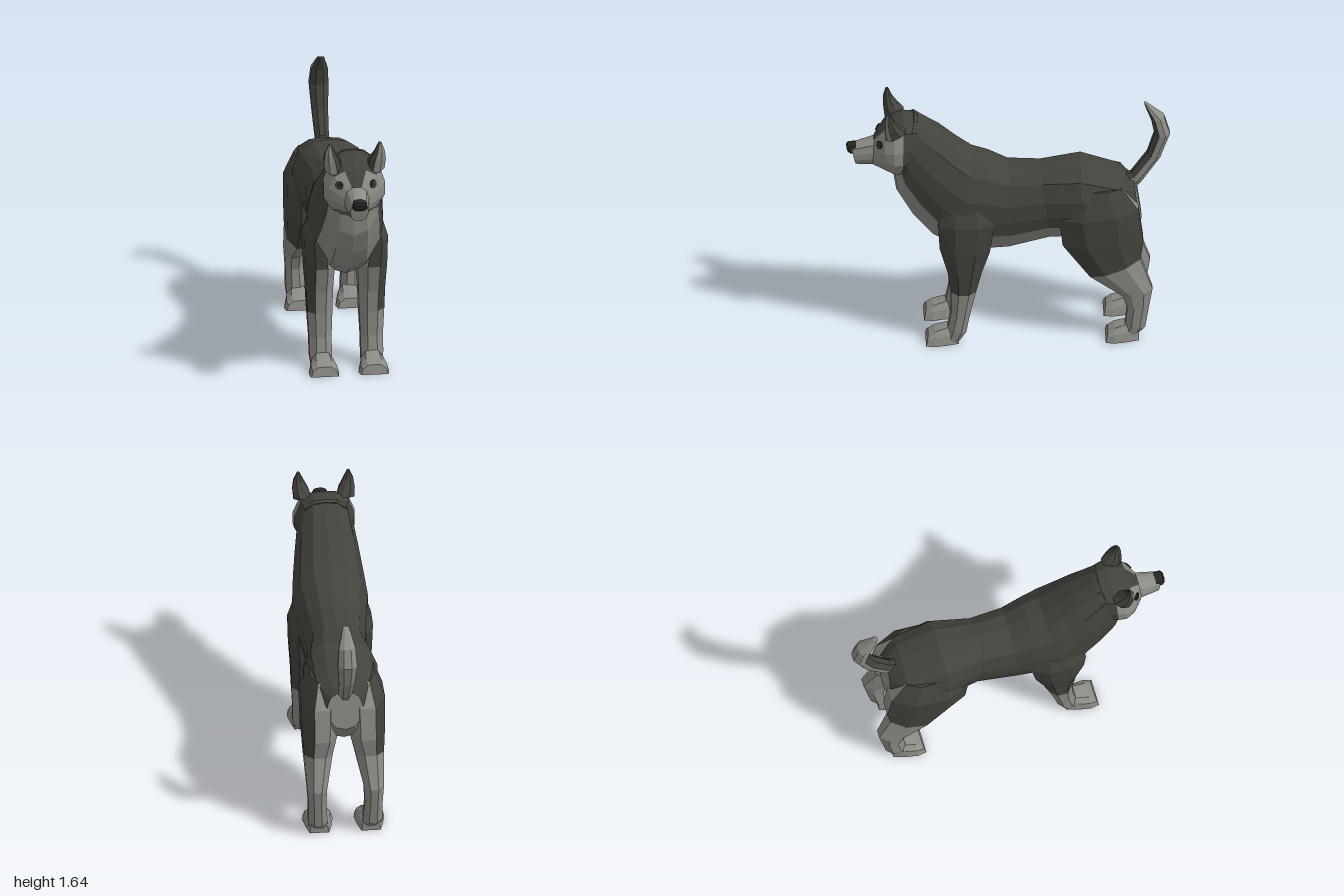
import * as THREE from 'three';

const V = (x, y, z) => new THREE.Vector3(x, y, z);
const mat = (name, color) => {
  const m = new THREE.MeshStandardMaterial({ color, flatShading: true });
  m.name = name;
  return m;
};

// Skin a list of equal-length rings; pick(i, j) gives the material index of a band's face.
function loft(name, rings, mats, pick, capStart = 0, capEnd = 0) {
  const faces = mats.map(() => []);
  const n = rings[0].length;
  const mid = r => r.reduce((s, p) => s.add(p), V(0, 0, 0)).divideScalar(n);
  for (let i = 0; i < rings.length - 1; i++)
    for (let j = 0; j < n; j++) {
      const k = (j + 1) % n, a = rings[i], b = rings[i + 1];
      faces[pick(i, j)].push([a[j], a[k], b[k]], [a[j], b[k], b[j]]);
    }
  const first = rings[0], last = rings[rings.length - 1];
  const c0 = mid(first), c1 = mid(last);
  for (let j = 0; j < n; j++) {
    const k = (j + 1) % n;
    faces[capStart].push([c0, first[k], first[j]]);
    faces[capEnd].push([c1, last[j], last[k]]);
  }
  // Turn every face outward when the enclosed volume is negative
  const volume = faces.flat().reduce((s, [a, b, c]) => s + a.clone().sub(c0).dot(b.clone().sub(c0).cross(c.clone().sub(c0))), 0);
  const pos = [], geo = new THREE.BufferGeometry();
  faces.forEach((list, m) => {
    geo.addGroup(pos.length / 3, list.length * 3, m);
    for (const [a, b, c] of list)
      for (const p of volume < 0 ? [a, c, b] : [a, b, c]) pos.push(p.x, p.y, p.z);
  });
  geo.setAttribute('position', new THREE.Float32BufferAttribute(pos, 3));
  geo.computeVertexNormals();
  const mesh = new THREE.Mesh(geo, mats);
  mesh.name = name;
  return mesh;
}

// Mirrored ring from a half profile [width share, share of the way from top to bottom]
function halfRing(profile, [tz, ty, bz, by, w], cx = 0) {
  const at = (u, v) => V(cx + u * w, ty + (by - ty) * v, tz + (bz - tz) * v);
  const right = profile.map(([u, v]) => at(u, v));
  const left = profile.slice(1, -1).reverse().map(([u, v]) => at(-u, v));
  return [...right, ...left];
}
// Segment number counted down from the spine, equal on both sides
const fold = (j, n) => Math.min(j, n - 1 - j);

// Octagonal limb ring between a front and a back point and two x limits
function limbRing([fz, fy, bz, by, x0, x1], s = 1) {
  return Array.from({ length: 8 }, (_, j) => {
    const a = (j + 0.5) * Math.PI / 4, k = 0.5 / Math.cos(Math.PI / 8);
    const c = Math.cos(a) * k, d = Math.sin(a) * k;
    return V(s * ((x0 + x1) / 2 + (x1 - x0) * d), (fy + by) / 2 + (fy - by) * c, (fz + bz) / 2 + (fz - bz) * c);
  });
}

export function createModel() {
  const group = new THREE.Group();
  group.name = 'dog';
  const dark = mat('darkFur', 0x43433d), light = mat('lightFur', 0x8b8c85), black = mat('noseBlack', 0x252523);
  const fur = [dark, light];

  // Torso and neck, rump to nape, with a light belly and chest
  const bodyProfile = [[0, 0], [0.45, 0.025], [0.8, 0.13], [1, 0.36], [1, 0.56], [0.9, 0.73], [0.5, 0.94], [0, 1]];
  const bodyRings = [
    [-0.78, 1.04, -0.81, 0.78, 0.11], [-0.69, 1.11, -0.72, 0.66, 0.21], [-0.45, 1.19, -0.45, 0.67, 0.23],
    [-0.2, 1.16, -0.26, 0.655, 0.18], [0, 1.17, 0, 0.59, 0.195], [0.12, 1.23, 0.14, 0.585, 0.215],
    [0.22, 1.26, 0.33, 0.61, 0.235], [0.32, 1.34, 0.48, 0.7, 0.22], [0.42, 1.43, 0.6, 0.84, 0.2],
    [0.51, 1.49, 0.69, 1.0, 0.18], [0.58, 1.54, 0.71, 1.13, 0.165],
  ].map(r => halfRing(bodyProfile, r));
  group.add(loft('body', bodyRings, fur, (i, j) => (fold(j, 14) >= 5 ? 1 : 0), 1, 0));

  // Head and muzzle with a light mask
  const headProfile = [[0, 0], [0.4, 0.02], [0.8, 0.14], [1, 0.42], [1, 0.66], [0.75, 0.9], [0.35, 1], [0, 1]];
  const headRings = [
    [0.56, 1.53, 0.6, 1.16, 0.16], [0.65, 1.535, 0.66, 1.15, 0.187], [0.71, 1.51, 0.71, 1.16, 0.192],
    [0.765, 1.47, 0.765, 1.185, 0.165], [0.8, 1.425, 0.805, 1.195, 0.12], [0.83, 1.38, 0.84, 1.2, 0.075],
    [0.97, 1.335, 0.94, 1.2, 0.055],
  ].map(r => halfRing(headProfile, r));
  const head = loft('head', headRings, fur, (i, j) => {
    const seg = fold(j, 14);
    return i > 4 || (i > 0 && seg >= 2) || (i > 2 && seg >= 1) ? 1 : 0;
  }, 0, 1);
  group.add(head);

  // Nose
  const noseRings = [[0.94, 1.345, 0.94, 1.275, 0.046], [0.99, 1.337, 0.975, 1.28, 0.046], [1, 1.325, 0.99, 1.29, 0.034]];
  group.add(loft('nose', noseRings.map(r => halfRing(headProfile, r)), [black], () => 0));

  const paw = (name, cx, dz) => {
    const profile = [[0, 0], [0.5, 0.04], [0.85, 0.4], [1, 1], [0, 1]];
    const rings = [[0.31, 0.08, 0.06], [0.38, 0.11, 0.08], [0.46, 0.085, 0.095], [0.5, 0.06, 0.085]]
      .map(([z, h, w], i) => halfRing(profile, [z + dz, h, z + dz + (i === 3 ? 0.015 : 0), 0, w], cx));
    return loft(name, rings, [light], () => 0);
  };

  const ray = new THREE.Raycaster();
  head.updateMatrixWorld();
  for (const s of [1, -1]) {
    const side = s > 0 ? 'left' : 'right';

    // Front leg: dark outside, light inside and below the elbow
    const front = [
      [0.4, 1.05, 0.14, 1.05, 0.1, 0.2], [0.44, 0.85, 0.09, 0.85, 0.09, 0.26], [0.43, 0.68, 0.12, 0.65, 0.07, 0.255],
      [0.38, 0.5, 0.17, 0.5, 0.08, 0.245], [0.36, 0.36, 0.205, 0.36, 0.083, 0.24], [0.36, 0.2, 0.245, 0.18, 0.09, 0.23],
      [0.38, 0.1, 0.265, 0.07, 0.09, 0.23], [0.4, 0.005, 0.305, 0.005, 0.09, 0.22],
    ].map(r => limbRing(r, s));
    group.add(loft(side + 'FrontLeg', front, fur, (i, j) => (i < 1 || (i < 4 && j < 4) || (i < 2 && j === 7) ? 0 : 1), 0, 1));
    group.add(paw(side + 'FrontPaw', s * 0.155, 0));

    // Hind leg: broad thigh, bent hock
    const hind = [
      [-0.4, 1.06, -0.7, 1.06, 0.06, 0.2], [-0.31, 0.86, -0.8, 0.92, 0.02, 0.26], [-0.33, 0.68, -0.83, 0.7, 0.03, 0.257],
      [-0.5, 0.45, -0.81, 0.57, 0.07, 0.247], [-0.7, 0.31, -0.885, 0.36, 0.115, 0.237], [-0.73, 0.22, -0.865, 0.24, 0.12, 0.23],
      [-0.715, 0.1, -0.84, 0.08, 0.11, 0.23], [-0.69, 0.005, -0.77, 0.005, 0.1, 0.22],
    ].map(r => limbRing(r, s));
    group.add(loft(side + 'HindLeg', hind, fur, (i, j) => (i < 3 && (j < 3 || j === 7) ? 0 : 1), 0, 1));
    group.add(paw(side + 'HindPaw', s * 0.16, -1.11));

    // Ear: dark behind, light in front
    const ear = [[0.755, 1.44, 0.64, 1.5, 0.075, 0.187], [0.765, 1.52, 0.68, 1.54, 0.095, 0.193],
      [0.765, 1.58, 0.71, 1.58, 0.122, 0.186], [0.75, 1.64, 0.735, 1.64, 0.148, 0.163]].map(r => limbRing(r, s));
    group.add(loft(side + 'Ear', ear, fur, (i, j) => (j === 7 || j === 0 ? 1 : 0)));

    // Eye: dark rim and pupil with a light iris, laid flat on the face
    ray.set(V(s * 0.105, 1.385, 2), V(0, 0, -1));
    const hit = ray.intersectObject(head)[0];
    if (hit) {
      const eye = new THREE.Group();
      eye.name = side + 'Eye';
      [[0.027, black, 0.006], [0.019, dark, 0.008], [0.01, black, 0.0095]].forEach(([r, m, h], i) => {
        const disc = new THREE.Mesh(new THREE.CylinderGeometry(r, r, h, 8), m);
        disc.name = ['eyeRim', 'iris', 'pupil'][i];
        disc.position.y = h / 2;
        eye.add(disc);
      });
      eye.position.copy(hit.point);
      eye.quaternion.setFromUnitVectors(V(0, 1, 0), hit.face.normal);
      group.add(eye);
    }
  }

  // Raised, curved tail: dark along the front, light behind
  const tail = [
    [-0.7, 1.07, -0.76, 0.96, 0.035], [-0.76, 1.09, -0.82, 1.02, 0.042], [-0.86, 1.23, -0.94, 1.2, 0.05],
    [-0.905, 1.37, -1, 1.37, 0.06], [-0.885, 1.47, -0.965, 1.49, 0.052], [-0.84, 1.585, -0.865, 1.575, 0.02],
  ].map(([fz, fy, bz, by, w]) => limbRing([fz, fy, bz, by, -w, w]));
  group.add(loft('tail', tail, fur, (i, j) => (j === 0 || j > 5 ? 0 : 1), 0, 1));

  return group;
}
